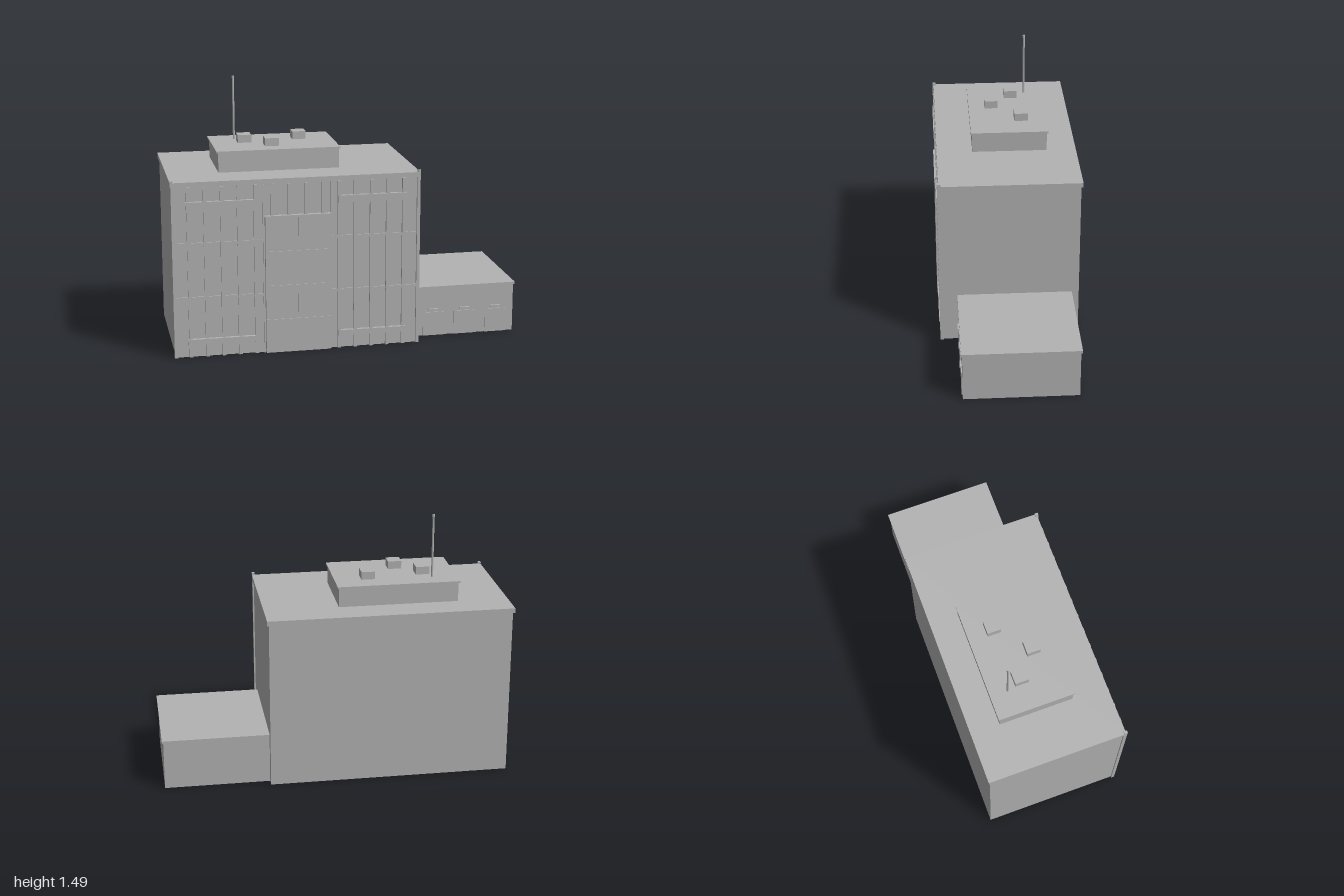
import * as THREE from 'three';

export function createModel() {
  const model = new THREE.Group();
  const concrete = new THREE.MeshStandardMaterial({ color: 0xb2b2b2 });
  concrete.name = 'concrete grey';

  // Box given by its limits on each axis
  function box(name, x0, x1, y0, y1, z0, z1, parent = model) {
    const mesh = new THREE.Mesh(new THREE.BoxGeometry(x1 - x0, y1 - y0, z1 - z0), concrete);
    mesh.position.set((x0 + x1) / 2, (y0 + y1) / 2, (z0 + z1) / 2);
    mesh.name = name;
    parent.add(mesh);
    return mesh;
  }
  function group(name) {
    const g = new THREE.Group();
    g.name = name;
    model.add(g);
    return g;
  }

  const mid = -0.3; // centre line of the tower
  const face = 0.386; // front wall

  // Tower and roof slab
  box('towerBody', -0.99, 0.39, 0, 0.972, -0.4, face);
  box('towerRoof', -1, 0.4, 0.972, 1, -0.41, 0.393);

  // Facade grid, mirrored about the centre line
  const facade = group('facade');
  for (const s of [-1, 1]) {
    const strip = (name, a, b, y0, y1, z) =>
      box(name, Math.min(mid + s * a, mid + s * b), Math.max(mid + s * a, mid + s * b), y0, y1, face - 0.005, z, facade);
    for (let i = 0; i < 5; i++) {
      const c = 0.235 + i * 0.0925;
      strip('mullion', c - 0.01, c + 0.01, 0, 0.972, 0.4);
    }
    strip('innerMullion', 0.185, 0.194, 0, 0.972, 0.396);
    strip('cornerPost', 0.68, 0.698, 0, 1, 0.4);
    strip('cornerPostCap', 0.684, 0.7, 1, 1.013, 0.4);
    for (const y of [0.34, 0.65]) strip('floorRail', 0.185, 0.69, y - 0.008, y + 0.008, 0.393);
    strip('lowerBand', 0.23, 0.62, 0.073, 0.105, 0.405);
    strip('upperBand', 0.23, 0.62, 0.848, 0.89, 0.405);
  }
  // Short fins above the central panel
  for (let i = 0; i < 4; i++) {
    const x = mid + (i - 1.5) * 0.095;
    box('upperFin', x - 0.01, x + 0.01, 0.79, 0.972, face - 0.005, 0.4, facade);
  }

  // Central panel: backing with two columns of slabs and a thin cap
  const panel = group('centralPanel');
  box('panelBacking', -0.483, -0.117, 0, 0.785, face - 0.005, 0.404, panel);
  for (let c = 0; c < 2; c++) {
    for (let r = 0; r < 4; r++) {
      const x = -0.483 + c * 0.184;
      box('panelSlab', x, x + 0.182, r * 0.197, r * 0.197 + 0.195, 0.403, 0.408, panel);
    }
  }
  box('panelCap', -0.486, -0.114, 0.784, 0.793, face - 0.005, 0.41, panel);

  // Low side wing with three doors and lamps
  const wing = group('sideWing');
  box('wingBody', 0.38, 0.992, 0, 0.28, -0.352, 0.292, wing);
  box('wingRoof', 0.38, 1, 0.28, 0.295, -0.36, 0.298, wing);
  for (const x of [0.513, 0.698, 0.884]) {
    box('door', x - 0.062, x + 0.062, 0, 0.14, 0.289, 0.297, wing);
    box('doorLamp', x - 0.028, x + 0.028, 0.152, 0.161, 0.289, 0.304, wing);
  }

  // Rooftop plant room with vents
  const plant = group('plantRoom');
  box('plantBody', -0.71, -0.025, 1, 1.11, -0.241, 0.188, plant);
  box('plantRoof', -0.72, -0.017, 1.11, 1.121, -0.249, 0.195, plant);
  for (const [x, z] of [[-0.532, -0.06], [-0.393, 0.062], [-0.209, -0.103]]) {
    box('roofVent', x - 0.039, x + 0.039, 1.121, 1.166, z - 0.039, z + 0.039, plant);
  }

  // Flagpole
  const pole = new THREE.Mesh(new THREE.CylinderGeometry(0.006, 0.006, 0.36, 10), concrete);
  pole.position.set(-0.577, 1.3, -0.146);
  pole.name = 'mast';
  const tip = new THREE.Mesh(new THREE.CylinderGeometry(0.008, 0.008, 0.015, 10), concrete);
  tip.position.set(-0.577, 1.482, -0.146);
  tip.name = 'mastTip';
  model.add(pole, tip);

  return model;
}
